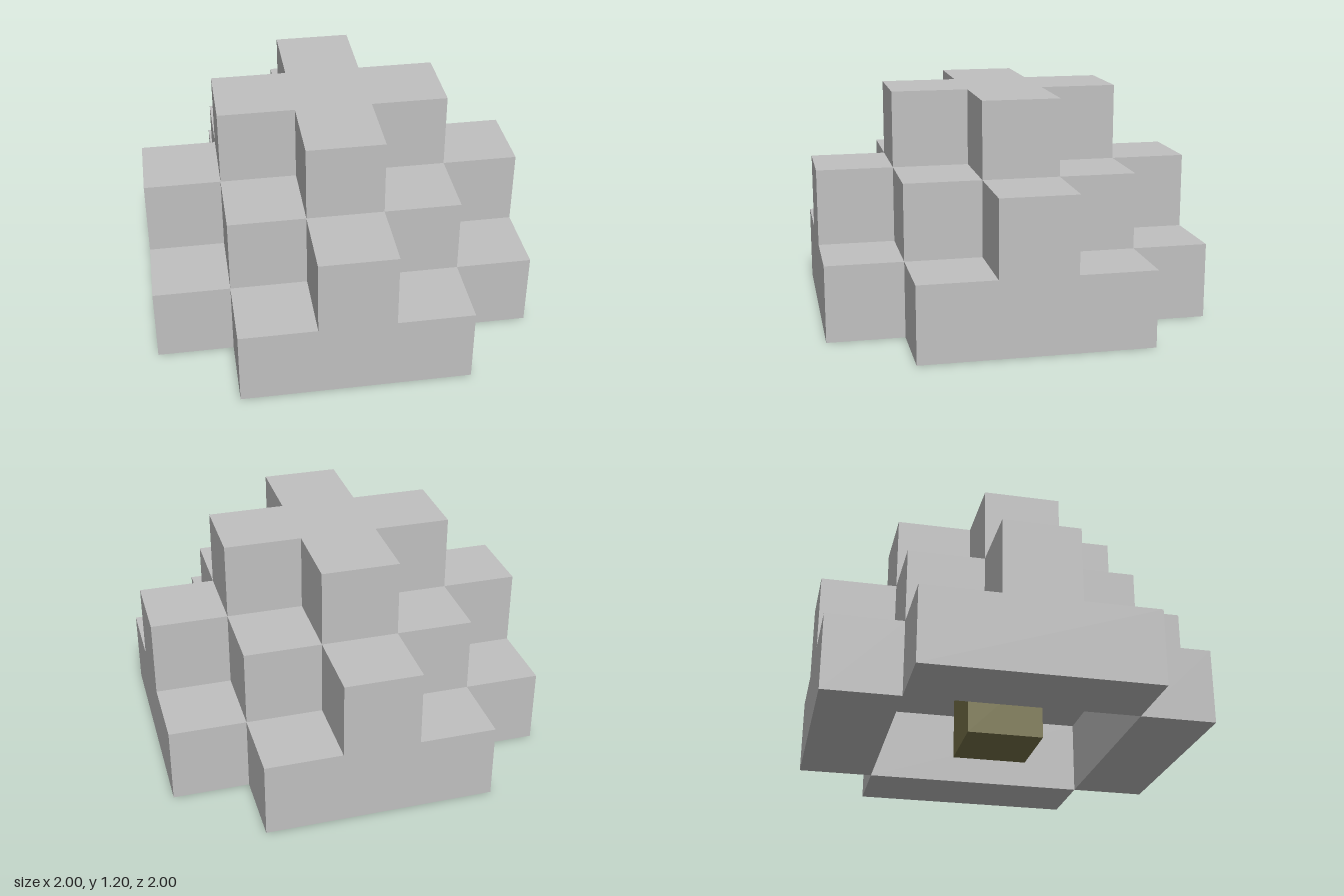
import * as THREE from 'three';

const U = 0.4; // size of one block

// Stepped outline, mirrored into all four quadrants, extruded one block high
function steppedLayer(steps) {
  const points = [];
  for (let q = 0; q < 4; q++) {
    const c = [1, 0, -1, 0][q], s = [0, 1, 0, -1][q];
    for (const [x, y] of steps) {
      points.push(new THREE.Vector2((x * c - y * s) * U, (x * s + y * c) * U));
    }
  }
  const geometry = new THREE.ExtrudeGeometry(new THREE.Shape(points), { depth: U, bevelEnabled: false });
  return geometry.rotateX(-Math.PI / 2);
}

export function createModel() {
  const model = new THREE.Group();
  model.name = 'blockDome';

  const grey = new THREE.MeshStandardMaterial({ color: 0xc0c0c0 });
  grey.name = 'stone grey';
  const olive = new THREE.MeshStandardMaterial({ color: 0x78744a });
  olive.name = 'olive';

  const add = (name, geometry, material, x, y, z) => {
    const mesh = new THREE.Mesh(geometry, material);
    mesh.name = name;
    mesh.position.set(x * U, y * U, z * U);
    model.add(mesh);
  };

  // Bottom ring: four bars around a hollow
  for (const side of [-1, 1]) {
    const end = side > 0 ? 'Front' : 'Back';
    const flank = side > 0 ? 'Left' : 'Right';
    add('base' + end, new THREE.BoxGeometry(3 * U, U, U), grey, 0, 0.5, 2 * side);
    add('base' + flank, new THREE.BoxGeometry(U, U, 3 * U), grey, 2 * side, 0.5, 0);
  }

  // Middle diamond and top cross
  add('middleLayer', steppedLayer([[2.5, 0.5], [1.5, 0.5], [1.5, 1.5], [0.5, 1.5], [0.5, 2.5]]), grey, 0, 1, 0);
  add('topCross', steppedLayer([[1.5, 0.5], [0.5, 0.5], [0.5, 1.5]]), grey, 0, 2, 0);

  // Core block inside the hollow
  add('core', new THREE.BoxGeometry(U, U, U), olive, 0, 0.5, 0);

  return model;
}
